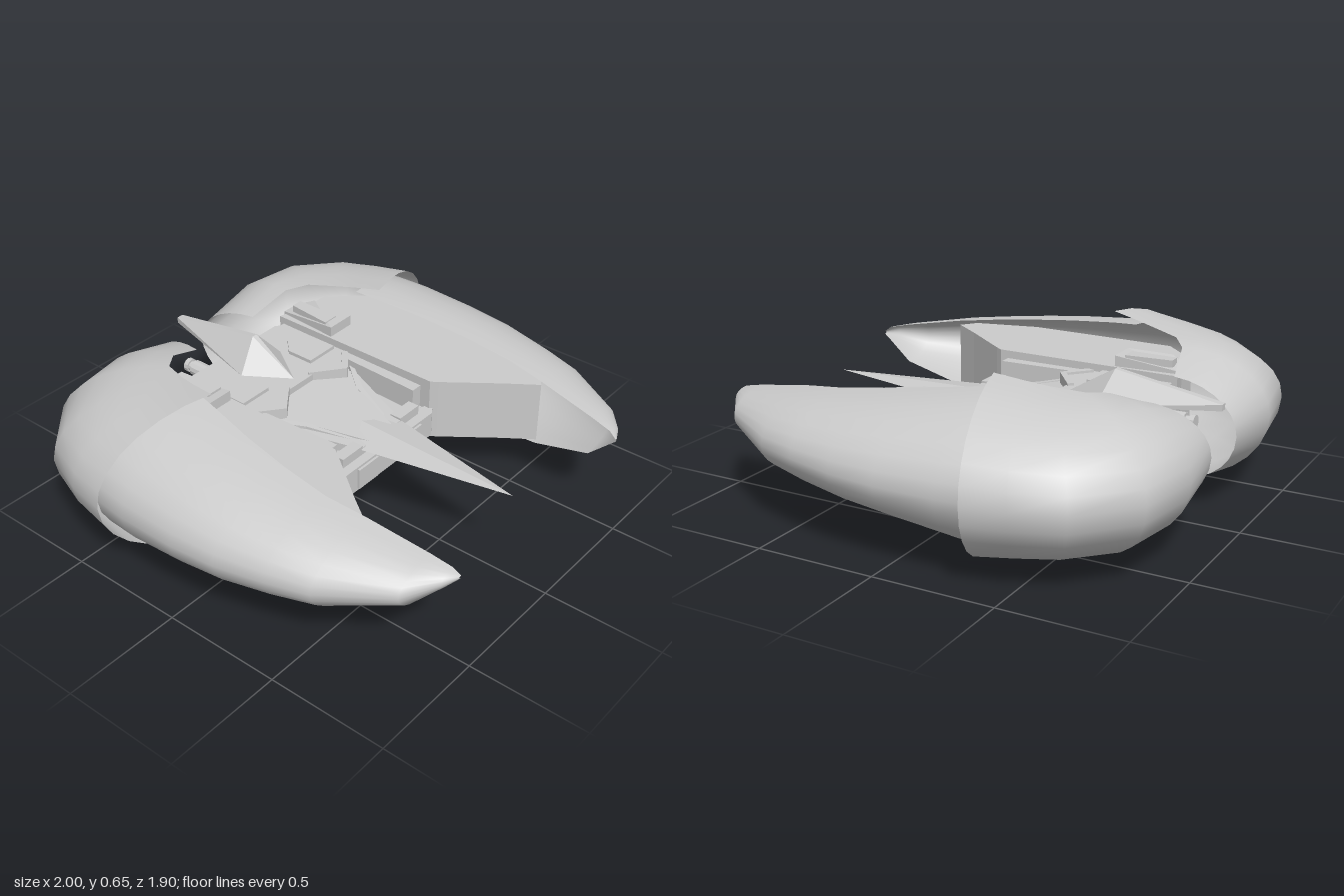
import * as THREE from 'three';

const flat = new THREE.MeshStandardMaterial({ color: 0xcccccc, flatShading: true, side: THREE.DoubleSide });
const smooth = new THREE.MeshStandardMaterial({ color: 0xcccccc, side: THREE.DoubleSide });

function add(parent, name, geometry, material = flat) {
  const mesh = new THREE.Mesh(geometry, material);
  mesh.name = name;
  parent.add(mesh);
  return mesh;
}

// Vertical prism over an (x, z) outline; the top may slope along x and z
function slab(pts, bottom, top) {
  const shape = new THREE.Shape(pts.map(([x, z]) => new THREE.Vector2(x, -z)));
  const geo = new THREE.ExtrudeGeometry(shape, { depth: 1, bevelEnabled: false });
  geo.rotateX(-Math.PI / 2);
  const pos = geo.attributes.position;
  const fn = typeof top === 'function' ? top : () => top;
  for (let i = 0; i < pos.count; i++) {
    pos.setY(i, pos.getY(i) > 0.5 ? fn(pos.getX(i), pos.getZ(i)) : bottom);
  }
  geo.computeVertexNormals();
  return geo;
}

// Mirrors a half outline listed from front to back
const both = (half) => [...half, ...half.slice().reverse().map(([x, z]) => [-x, z])];

// Open C-shaped skin; sections are [xInner, zInner, xOuter, zOuter, yTop, yBottom, yMid]
function shell(sections, s) {
  const n = 14, pos = [], index = [];
  for (const [xi, zi, xo, zo, yt, yb, ym] of sections) {
    for (let j = 0; j <= n; j++) {
      const a = (j / n) * Math.PI, out = Math.sin(a), c = Math.cos(a);
      const y = ym + (c > 0 ? c * (yt - ym) : c * (ym - yb));
      pos.push(s * (xi + (xo - xi) * out), y, zi + (zo - zi) * out);
    }
  }
  for (let i = 0; i < sections.length - 1; i++) {
    for (let j = 0; j < n; j++) {
      const a = i * (n + 1) + j, b = a + 1, c = a + n + 1, d = c + 1;
      if (s > 0) index.push(a, b, c, b, d, c);
      else index.push(a, c, b, b, c, d);
    }
  }
  const geo = new THREE.BufferGeometry();
  geo.setAttribute('position', new THREE.Float32BufferAttribute(pos, 3));
  geo.setIndex(index);
  geo.computeVertexNormals();
  return geo;
}

// Faceted solid from corner points and triangles
function facets(points, faces) {
  const geo = new THREE.BufferGeometry();
  geo.setAttribute('position', new THREE.Float32BufferAttribute(faces.flat().flatMap((i) => points[i]), 3));
  geo.computeVertexNormals();
  return geo;
}

const hornSections = [
  [0.515, 0.95, 0.525, 0.95, 0.412, 0.4, 0.406],
  [0.52, 0.92, 0.59, 0.92, 0.435, 0.37, 0.4],
  [0.53, 0.83, 0.71, 0.83, 0.455, 0.28, 0.37],
  [0.56, 0.57, 0.87, 0.57, 0.5, 0.195, 0.35],
  [0.58, 0.4, 0.92, 0.4, 0.522, 0.17, 0.345],
  [0.572, 0.2, 0.965, 0.2, 0.55, 0.142, 0.34],
  [0.55, 0, 0.98, 0, 0.577, 0.113, 0.335],
  [0.51, -0.22, 0.98, -0.25, 0.605, 0.065, 0.335],
  [0.49, -0.33, 0.965, -0.4, 0.615, 0.045, 0.335]
];
const rearSections = [
  [0.51, -0.22, 1.0, -0.36, 0.655, 0.0, 0.335],
  [0.485, -0.34, 0.97, -0.53, 0.635, 0.018, 0.335],
  [0.46, -0.43, 0.9, -0.72, 0.62, 0.028, 0.335],
  [0.42, -0.54, 0.69, -0.91, 0.605, 0.035, 0.335],
  [0.34, -0.6, 0.41, -0.955, 0.59, 0.05, 0.335],
  [0.17, -0.64, 0.13, -0.92, 0.52, 0.11, 0.33]
];

export function createModel() {
  const model = new THREE.Group();
  model.name = 'twinClawCraft';

  // Claws, pods and paired fittings
  for (const s of [1, -1]) {
    const side = new THREE.Group();
    side.name = s > 0 ? 'leftSide' : 'rightSide';
    model.add(side);
    const m = (pts) => pts.map(([x, z]) => [s * x, z]);

    add(side, 'frontClaw', shell(hornSections, s), smooth);
    add(side, 'rearShell', shell(rearSections, s), smooth);

    // Inner pod filling the claw, with its slanted front wall
    add(side, 'innerPod', slab(m([[0.3, 0.21], [0.32, 0.24], [0.48, 0.45], [0.565, 0.57], [0.63, 0.52],
      [0.7, 0.25], [0.7, -0.4], [0.55, -0.56], [0.42, -0.57], [0.3, -0.6]]), 0.21, 0.48));
    add(side, 'podTopBox', slab(m([[0.31, -0.32], [0.44, -0.32], [0.44, -0.52], [0.41, -0.6], [0.33, -0.6]]),
      0.47, (x, z) => (z < -0.55 ? 0.49 : 0.525)));
    add(side, 'podTopRidge', slab(m([[0.32, -0.36], [0.39, -0.36], [0.39, -0.56], [0.34, -0.56]]), 0.5, 0.53));

    // Deck plates and side rails
    add(side, 'sideRail', slab(m([[0.24, 0.17], [0.29, 0.17], [0.3, -0.58], [0.27, -0.58]]), 0.3, 0.45));
    add(side, 'deckHatch', slab(m([[0.13, -0.28], [0.28, -0.28], [0.28, -0.4], [0.2, -0.47], [0.13, -0.4]]), 0.43, 0.465));
    add(side, 'deckStrake', slab(m([[0.28, -0.24], [0.29, -0.21], [0.19, -0.13], [0.06, -0.23], [0.08, -0.25], [0.19, -0.16]]),
      0.4, 0.46));
    add(side, 'canopyStrip', slab(m([[0.28, -0.18], [0.25, -0.17], [0.16, -0.06], [0.07, 0.19], [0.085, 0.19], [0.18, -0.04]]),
      0.36, (x, z) => 0.428 - 0.13 * (z + 0.2)));
    add(side, 'frontPost', slab(m([[0.12, 0.2], [0.24, 0.2], [0.24, 0.15], [0.12, 0.15]]), 0.33, 0.39));
    add(side, 'bumperPad', slab(m([[0.08, 0.25], [0.2, 0.25], [0.2, 0.2], [0.08, 0.2]]), 0.25, 0.34));

    // Rear cannon
    const cannon = new THREE.Group();
    cannon.name = 'cannon';
    cannon.position.set(s * 0.11, 0.37, 0);
    side.add(cannon);
    for (const [name, r, z0, z1] of [['barrel', 0.034, -0.56, -0.72], ['neck', 0.022, -0.71, -0.75], ['muzzle', 0.03, -0.74, -0.76]]) {
      const tube = new THREE.CylinderGeometry(r, r, z0 - z1, 12);
      tube.rotateX(Math.PI / 2);
      add(cannon, name, tube).position.z = (z0 + z1) / 2;
    }
  }

  // Central body
  add(model, 'hull', slab(both([[0.29, 0.18], [0.3, -0.57], [0.26, -0.6]]), 0.24, 0.35));
  add(model, 'rearDeck', slab(both([[0.09, -0.22], [0.19, -0.14], [0.28, -0.22], [0.29, -0.57], [0.26, -0.595]]), 0.34, 0.45));
  add(model, 'frontBumper', slab(both([[0.28, 0.24], [0.31, 0.22], [0.31, 0.19], [0.28, 0.18]]), 0.24, 0.35));

  // Sloped canopy running into the long nose spike
  add(model, 'canopy', slab(both([[0.07, 0.2], [0.16, -0.04], [0.25, -0.16], [0.19, -0.13], [0.07, -0.25]]),
    0.35, (x, z) => 0.425 - 0.09 * (z + 0.25)));
  add(model, 'foredeck', slab(both([[0.13, 0.2], [0.18, 0.06], [0.28, -0.2]]), 0.34, (x, z) => 0.405 - 0.06 * (z + 0.2)));
  add(model, 'noseSpike', facets(
    [[0, 0.38, 0.82], [0.135, 0.375, 0.17], [0, 0.4, 0.1], [-0.135, 0.375, 0.17], [0, 0.355, 0.15]],
    [[0, 1, 2], [0, 2, 3], [0, 4, 1], [0, 3, 4], [1, 4, 2], [2, 4, 3]]));

  // Raised tail fin
  add(model, 'tailFin', facets(
    [[0, 0.45, -0.26], [0.12, 0.45, -0.44], [-0.12, 0.45, -0.44], [0.012, 0.575, -0.47], [-0.012, 0.575, -0.47],
      [0.015, 0.5, -0.91], [-0.015, 0.5, -0.91], [0.015, 0.475, -0.91], [-0.015, 0.475, -0.91]],
    [[0, 1, 3], [0, 3, 4], [0, 4, 2], [1, 5, 3], [1, 7, 5], [2, 4, 6], [2, 6, 8], [3, 5, 6], [3, 6, 4],
      [5, 7, 8], [5, 8, 6], [0, 2, 1], [1, 2, 8], [1, 8, 7]]));

  return model;
}
